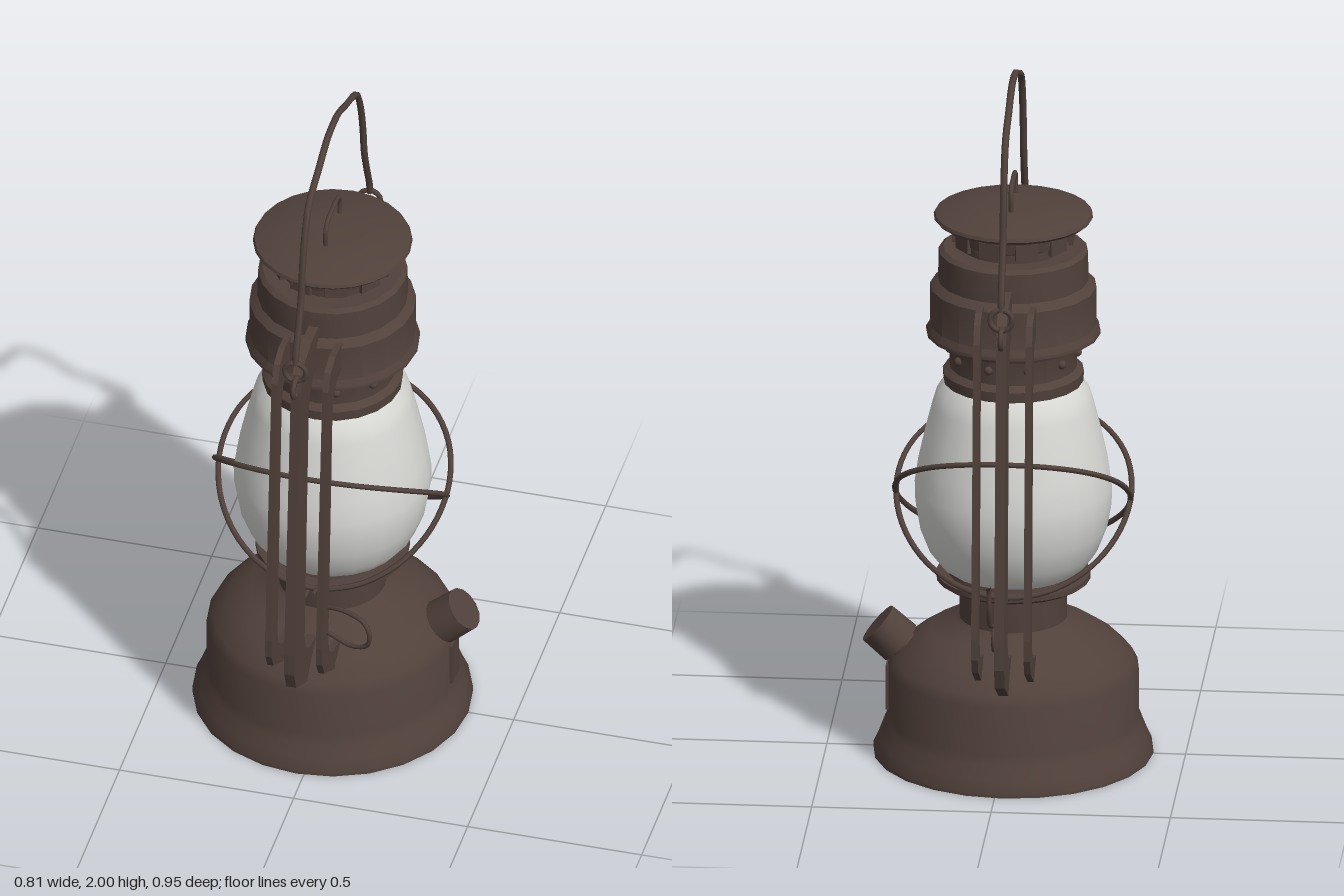
import * as THREE from 'three';
import { toCreasedNormals } from 'three/addons/utils/BufferGeometryUtils.js';

const metal = new THREE.MeshStandardMaterial({ color: 0x51413b });
metal.name = 'brown metal';
const glass = new THREE.MeshStandardMaterial({ color: 0xd8d9d5 });
glass.name = 'frosted glass';

export function createModel() {
  const model = new THREE.Group();
  model.name = 'lantern';
  // The lantern's axis sits slightly to one side because of the filler cap
  const body = new THREE.Group();
  body.name = 'body';
  body.position.x = -0.02;
  model.add(body);

  const add = (name, geometry, material = metal, parent = body) => {
    const mesh = new THREE.Mesh(geometry, material);
    mesh.name = name;
    parent.add(mesh);
    return mesh;
  };
  const lathe = (name, profile, sides, material = metal) => add(name, toCreasedNormals(
    new THREE.LatheGeometry(profile.map(p => new THREE.Vector2(...p)), sides), 0.6), material);
  const wire = (name, points, radius, closed = false, steps = 48, parent = body) => add(name,
    new THREE.TubeGeometry(new THREE.CatmullRomCurve3(
      points.map(p => new THREE.Vector3(...p)), closed, 'centripetal'), steps, radius, 6, closed),
    metal, parent);

  // Fuel tank with flared foot and burner neck
  lathe('tank', [[0, 0], [0.39, 0], [0.39, 0.012], [0.375, 0.045], [0.36, 0.085], [0.35, 0.11],
    [0.35, 0.25], [0.335, 0.28], [0.29, 0.325], [0.23, 0.365], [0.16, 0.39], [0.15, 0.4],
    [0.15, 0.5], [0, 0.5]], 24);
  lathe('burnerPlate', [[0, 0.49], [0.15, 0.495], [0.2, 0.505], [0.215, 0.515], [0.215, 0.53],
    [0.18, 0.53], [0.175, 0.55], [0, 0.55]], 24);

  // Glass globe
  lathe('globe', [[0.17, 0.535], [0.205, 0.56], [0.235, 0.6], [0.262, 0.67], [0.274, 0.74],
    [0.275, 0.79], [0.265, 0.86], [0.245, 0.95], [0.225, 1.03], [0.213, 1.07], [0.19, 1.1],
    [0, 1.1]], 24, glass);

  // Chimney: collar, skirted hood, vent neck and top lid
  lathe('collar', [[0, 1.1], [0.195, 1.1], [0.197, 1.13], [0.178, 1.145], [0.178, 1.21],
    [0.19, 1.23], [0.19, 1.26]], 20);
  lathe('hood', [[0.18, 1.25], [0.243, 1.242], [0.243, 1.252], [0.232, 1.27], [0.232, 1.38],
    [0.21, 1.4], [0.208, 1.485], [0.195, 1.495], [0, 1.495]], 20);
  lathe('ventNeck', [[0.145, 1.49], [0.145, 1.52], [0.165, 1.53], [0.172, 1.575], [0, 1.575]], 20);
  lathe('lid', [[0, 1.565], [0.17, 1.57], [0.215, 1.578], [0.222, 1.586], [0.218, 1.595],
    [0.14, 1.62], [0.06, 1.626], [0, 1.626]], 24);
  for (let i = 0; i < 10; i++) {
    const a = (i + 0.5) / 10 * Math.PI * 2;
    const vent = add('vent', new THREE.BoxGeometry(0.065, 0.045, 0.012));
    vent.position.set(Math.sin(a) * 0.163, 1.535, Math.cos(a) * 0.163);
    vent.rotation.y = a;
    const rivet = add('collarRivet', new THREE.SphereGeometry(0.013, 8, 6));
    rivet.position.set(Math.sin(a) * 0.178, 1.185, Math.cos(a) * 0.178);
  }
  wire('lidLoop', [[0, 1.61, -0.075], [0, 1.67, -0.075], [0, 1.692, -0.055], [0, 1.696, 0],
    [0, 1.692, 0.055], [0, 1.67, 0.075], [0, 1.61, 0.075]], 0.007);

  // Side frames, each made of three upright plates, with handle rings
  const innerEdge = [[0.22, 0.365], [0.31, 0.385], [0.345, 0.41], [0.357, 0.46], [0.312, 1.23],
    [0.295, 1.28], [0.265, 1.305], [0.2, 1.31]];
  const centreEdge = [[0.18, 1.435], [0.27, 1.44], [0.35, 1.425], [0.385, 1.4], [0.402, 1.35],
    [0.475, 0.48], [0.473, 0.41], [0.45, 0.35], [0.3, 0.265], [0.22, 0.31]];
  const sideEdge = [[0.18, 1.39], [0.28, 1.4], [0.33, 1.38], [0.355, 1.33],
    [0.425, 0.48], [0.422, 0.42], [0.4, 0.375], [0.29, 0.31], [0.22, 0.33]];
  const plate = (outer, thickness, x) => {
    const shape = new THREE.Shape([...outer, ...innerEdge].map(p => new THREE.Vector2(...p)));
    return new THREE.ExtrudeGeometry(shape, { depth: thickness, bevelEnabled: false })
      .translate(0, 0, -thickness / 2).rotateY(-Math.PI / 2).translate(x, 0, 0);
  };
  for (const turn of [0, Math.PI]) {
    const frame = new THREE.Group();
    frame.name = 'sideFrame';
    frame.rotation.y = turn;
    body.add(frame);
    add('frameCentre', plate(centreEdge, 0.028, 0), metal, frame);
    for (const x of [-0.073, 0.073]) add('frameSide', plate(sideEdge, 0.018, x), metal, frame);
    const eye = add('handleEye', new THREE.TorusGeometry(0.028, 0.008, 6, 14), metal, frame);
    eye.position.set(0, 1.37, 0.405);
    eye.rotation.y = Math.PI / 2;
    const hook = add('handleHook', new THREE.TorusGeometry(0.031, 0.008, 6, 14), metal, frame);
    hook.position.set(0, 1.425, 0.405);
  }

  // Carrying handle
  const half = [[0.405, 1.45], [0.4, 1.48], [0.365, 1.57], [0.342, 1.64], [0.33, 1.72],
    [0.308, 1.81], [0.27, 1.89], [0.23, 1.92], [0.15, 1.95], [0.06, 1.985]];
  wire('handle', [...half.map(([z, y]) => [0, y, z]), [0, 1.99, 0],
    ...half.slice().reverse().map(([z, y]) => [0, y, -z])], 0.01, false, 80);

  // Two tilted guard wires crossing around the globe
  for (const s of [1, -1]) {
    const ring = [];
    for (let i = 0; i < 16; i++) {
      const a = i / 16 * Math.PI * 2, c = Math.cos(a);
      ring.push([Math.sin(a) * 0.328, 0.77 + 0.205 * c - 0.03 * c * c, s * (0.02 + 0.25 * c)]);
    }
    wire('guardWire', ring, 0.008, true, 72);
  }

  // Filler cap on the left shoulder, and the seam plate below it
  const filler = new THREE.Group();
  filler.name = 'filler';
  filler.position.set(0.335, 0.325, 0);
  filler.rotation.z = -0.85;
  body.add(filler);
  add('fillerCap', toCreasedNormals(new THREE.CylinderGeometry(0.063, 0.065, 0.085, 14), 0.6),
    metal, filler).position.y = 0.015;
  add('fillerStem', toCreasedNormals(new THREE.CylinderGeometry(0.045, 0.045, 0.1, 12), 0.6),
    metal, filler).position.y = -0.06;
  add('seamPlate', new THREE.BoxGeometry(0.009, 0.13, 0.07)).position.set(0.349, 0.185, 0);

  // Globe lifting lever at the front and coiled spring wire at the back
  wire('leverLoop', [[0.09, 0.6, 0.385], [0.13, 0.61, 0.4], [0.2, 0.605, 0.43], [0.22, 0.58, 0.44],
    [0.215, 0.53, 0.435], [0.17, 0.505, 0.42], [0.09, 0.51, 0.385]], 0.007);
  wire('leverRod', [[0.04, 0.62, 0.37], [0.04, 0.61, 0.33], [0.04, 0.56, 0.295], [0.04, 0.48, 0.285],
    [0.03, 0.465, 0.25], [0.02, 0.46, 0.14]], 0.007);
  wire('leverRod', [[-0.04, 0.62, 0.35], [-0.04, 0.55, 0.3], [-0.04, 0.47, 0.28],
    [-0.03, 0.46, 0.14]], 0.007);
  wire('springWire', [[0.04, 0.62, -0.37], [0.04, 0.6, -0.34], [0.04, 0.53, -0.33],
    [0.04, 0.48, -0.3], [0.03, 0.465, -0.27]], 0.007);
  wire('springWire', [[0.03, 0.44, -0.24], [0.02, 0.43, -0.2], [0.02, 0.435, -0.14]], 0.007);
  const coil = add('springCoil', new THREE.TorusGeometry(0.033, 0.007, 6, 16));
  coil.position.set(0.03, 0.43, -0.27);
  coil.rotation.y = Math.PI / 2;

  return model;
}
